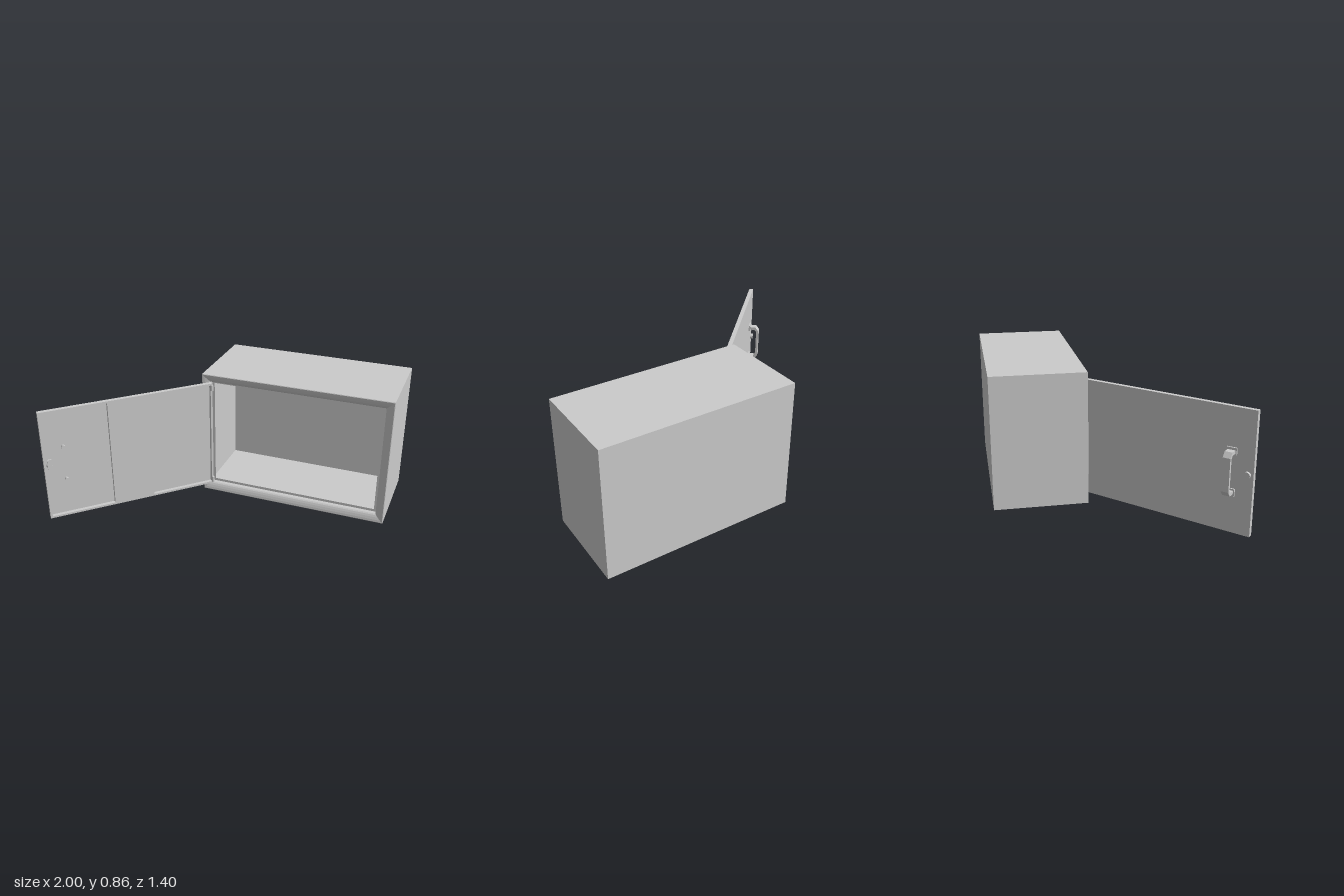
import * as THREE from 'three';

const steel = new THREE.MeshStandardMaterial({ color: 0xcccccc, side: THREE.DoubleSide });

function add(parent, name, geometry, x = 0, y = 0, z = 0) {
  const mesh = new THREE.Mesh(geometry, steel);
  mesh.name = name;
  mesh.position.set(x, y, z);
  parent.add(mesh);
  return mesh;
}

// Box given by its limits on each axis
function block(parent, name, [x0, x1], [y0, y1], [z0, z1]) {
  return add(parent, name, new THREE.BoxGeometry(x1 - x0, y1 - y0, z1 - z0),
    (x0 + x1) / 2, (y0 + y1) / 2, (z0 + z1) / 2);
}

// Cylinder along z between two depths
function pin(parent, name, radius, x, y, z0, z1, sides = 16) {
  const g = new THREE.CylinderGeometry(radius, radius, z1 - z0, sides).rotateX(Math.PI / 2);
  return add(parent, name, g, x, y, (z0 + z1) / 2);
}

// Sweeps a profile of [inset, z] around a rectangle, with mitred corners
function mitredRing(x0, x1, y0, y1, profile) {
  const pos = [];
  const corners = ([i, z]) => [
    [x0 + i, y0 + i, z], [x1 - i, y0 + i, z], [x1 - i, y1 - i, z], [x0 + i, y1 - i, z]];
  for (let p = 0; p < profile.length - 1; p++) {
    const a = corners(profile[p]), b = corners(profile[p + 1]);
    for (let k = 0; k < 4; k++) {
      const n = (k + 1) % 4;
      pos.push(...a[k], ...a[n], ...b[n], ...a[k], ...b[n], ...b[k]);
    }
  }
  const g = new THREE.BufferGeometry();
  g.setAttribute('position', new THREE.Float32BufferAttribute(pos, 3));
  g.computeVertexNormals();
  return g;
}

function createCabinet() {
  const cabinet = new THREE.Group();
  cabinet.name = 'cabinet';
  const [x0, x1, y0, y1] = [-0.255, 1, 0, 0.86];
  const back = -0.694, front = -0.1, wall = 0.006;
  // Outer wall, rounded front lip, door rebate, then the inner wall
  add(cabinet, 'shellAndLip', mitredRing(x0, x1, y0, y1, [
    [0, back], [0, front - 0.002], [0.004, front],
    [0.018, front - 0.002], [0.034, front - 0.007], [0.046, front - 0.013], [0.053, front - 0.02],
    [0.053, front - 0.045], [0.07, front - 0.045], [0.07, front - 0.051],
    [wall, front - 0.051], [wall, back]]));
  block(cabinet, 'backPanel', [x0, x1], [y0, y1], [-0.7, back]);
  return cabinet;
}

// Door space: x runs from the hinge to the free edge, +z is the outside
function createDoor() {
  const door = new THREE.Group();
  door.name = 'door';
  const [u0, u1, y0, y1] = [-0.012, 1.117, 0.06, 0.805];
  const t = 0.014, sheet = 0.01, rim = 0.013;
  block(door, 'doorSheet', [u0, u1], [y0, y1], [sheet, t]);
  // Folded rim around the inside
  add(door, 'doorRim', mitredRing(u0, u1, y0, y1,
    [[0, sheet], [0, -t], [rim, -t], [rim, sheet]]));
  block(door, 'stiffener', [0.42, 0.69], [y0 + rim, y1 - rim], [-t, sheet]);

  // Hinge pins at the top and bottom
  for (const y of [0.09, 0.775])
    add(door, 'hingePin', new THREE.CylinderGeometry(0.009, 0.009, 0.04, 12), u0 + 0.004, y, -t);

  // Bracket handle with chamfered ends, and its bolts on the inside
  const hu = 0.984, mid = 0.43, half = 0.13;
  const s = new THREE.Shape([
    [-half, t], [-half, 0.064], [-half + 0.03, 0.086], [half - 0.03, 0.086], [half, 0.064], [half, t],
    [half - 0.02, t], [half - 0.02, 0.056], [half - 0.036, 0.07],
    [-half + 0.036, 0.07], [-half + 0.02, 0.056], [-half + 0.02, t]
  ].map(([y, z]) => new THREE.Vector2(-z, y)));
  const handle = new THREE.ExtrudeGeometry(s, { depth: 0.046, bevelEnabled: false });
  handle.translate(0, 0, -0.023).rotateY(Math.PI / 2);
  add(door, 'handle', handle, hu, mid, 0);
  for (const side of [-1, 1]) {
    const y = mid + side * 0.122;
    block(door, 'handleFoot', [hu - 0.03, hu + 0.03], [y - 0.022, y + 0.022], [t, t + 0.01]);
    pin(door, 'handleBolt', 0.013, hu, mid + side * 0.115, -0.008, sheet, 6);
  }

  // Lock with an upright latch tab inside
  pin(door, 'lockCylinder', 0.02, 1.082, mid, t, t + 0.016);
  pin(door, 'lockBarrel', 0.017, 1.082, mid, -0.022, sheet);
  block(door, 'latchTab', [1.07, 1.096], [0.42, 0.487], [-0.028, -0.02]);

  // Swung open on its left-hand hinge
  door.position.set(-0.2, 0, -0.1);
  door.rotation.y = -Math.PI * 0.75;
  return door;
}

export function createModel() {
  const model = new THREE.Group();
  model.name = 'wallCabinet';
  model.add(createCabinet(), createDoor());
  return model;
}
